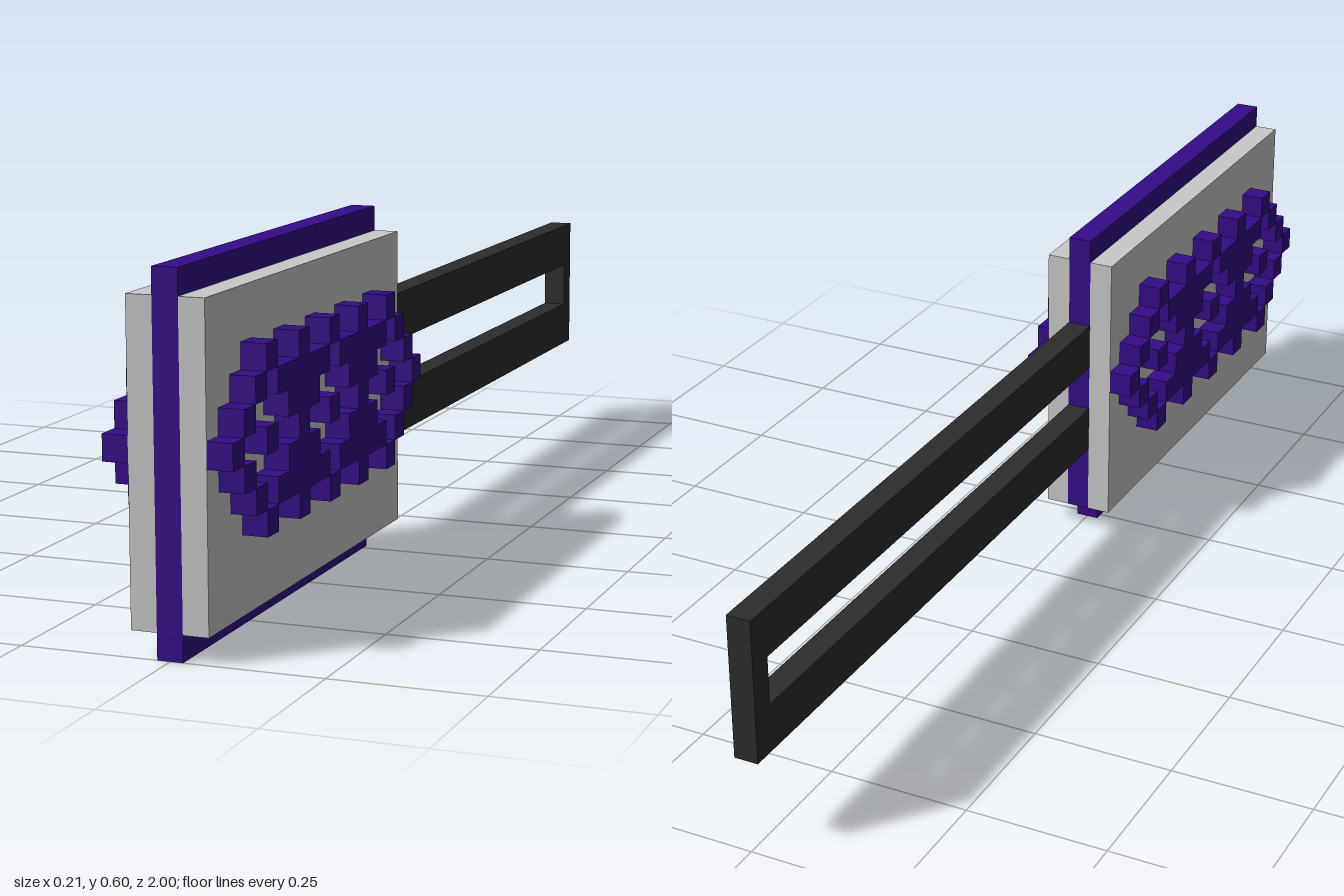
import * as THREE from 'three';

const U = 2 / 47; // one block

const mat = (name, color) => {
  const m = new THREE.MeshStandardMaterial({ color });
  m.name = name;
  return m;
};

// Raised ornament, front to back, top row to bottom row
const ROWS = [
  '...#..#..#..#..#...',
  '..#.#####.#####.#..',
  '.#...###...###...#.',
  '#..#..#..#..#..#..#',
  '.#...###...###...#.',
  '..#.#####.#####.#..',
  '...#..#..#..#..#...',
];

export function createModel() {
  const purple = mat('purple', 0x350b88);
  const grey = mat('light grey', 0xc9c9c9);
  const dark = mat('charcoal', 0x2c2c2c);
  const model = new THREE.Group();
  model.name = 'hammer';

  // Box spanning x0..x1, y0..y1 and c0..c1 blocks back from the front face
  const block = (parent, name, m, x0, x1, y0, y1, c0, c1) => {
    const g = new THREE.BoxGeometry((x1 - x0) * U, (y1 - y0) * U, (c1 - c0) * U);
    const mesh = new THREE.Mesh(g, m);
    mesh.name = name;
    mesh.position.set(((x0 + x1) / 2) * U, ((y0 + y1) / 2) * U, 1 - ((c0 + c1) / 2) * U);
    parent.add(mesh);
  };

  // Head core with a slightly shorter bottom edge
  block(model, 'headCore', purple, -0.5, 0.5, 1, 14, 0, 19);
  block(model, 'headBottomEdge', purple, -0.5, 0.5, 0, 1, 0, 18);

  // Side plates and their ornaments
  for (const [side, s] of [['left', 1], ['right', -1]]) {
    const span = (a, b) => (s > 0 ? [a, b] : [-b, -a]);
    block(model, side + 'Plate', grey, ...span(0.5, 1.5), 1, 13, 0, 19);
    const ornament = new THREE.Group();
    ornament.name = side + 'Ornament';
    ROWS.forEach((row, r) => {
      for (const run of row.matchAll(/#+/g)) {
        block(ornament, 'ornamentBlock', purple, ...span(1.5, 2.5),
          10 - r, 11 - r, run.index, run.index + run[0].length);
      }
    });
    model.add(ornament);
  }

  // Slotted handle
  const handle = new THREE.Group();
  handle.name = 'handle';
  block(handle, 'lowerBar', dark, -0.5, 0.5, 4, 6, 19, 46);
  block(handle, 'upperBar', dark, -0.5, 0.5, 8, 10, 19, 46);
  block(handle, 'endBar', dark, -0.5, 0.5, 4, 10, 46, 47);
  model.add(handle);

  return model;
}
